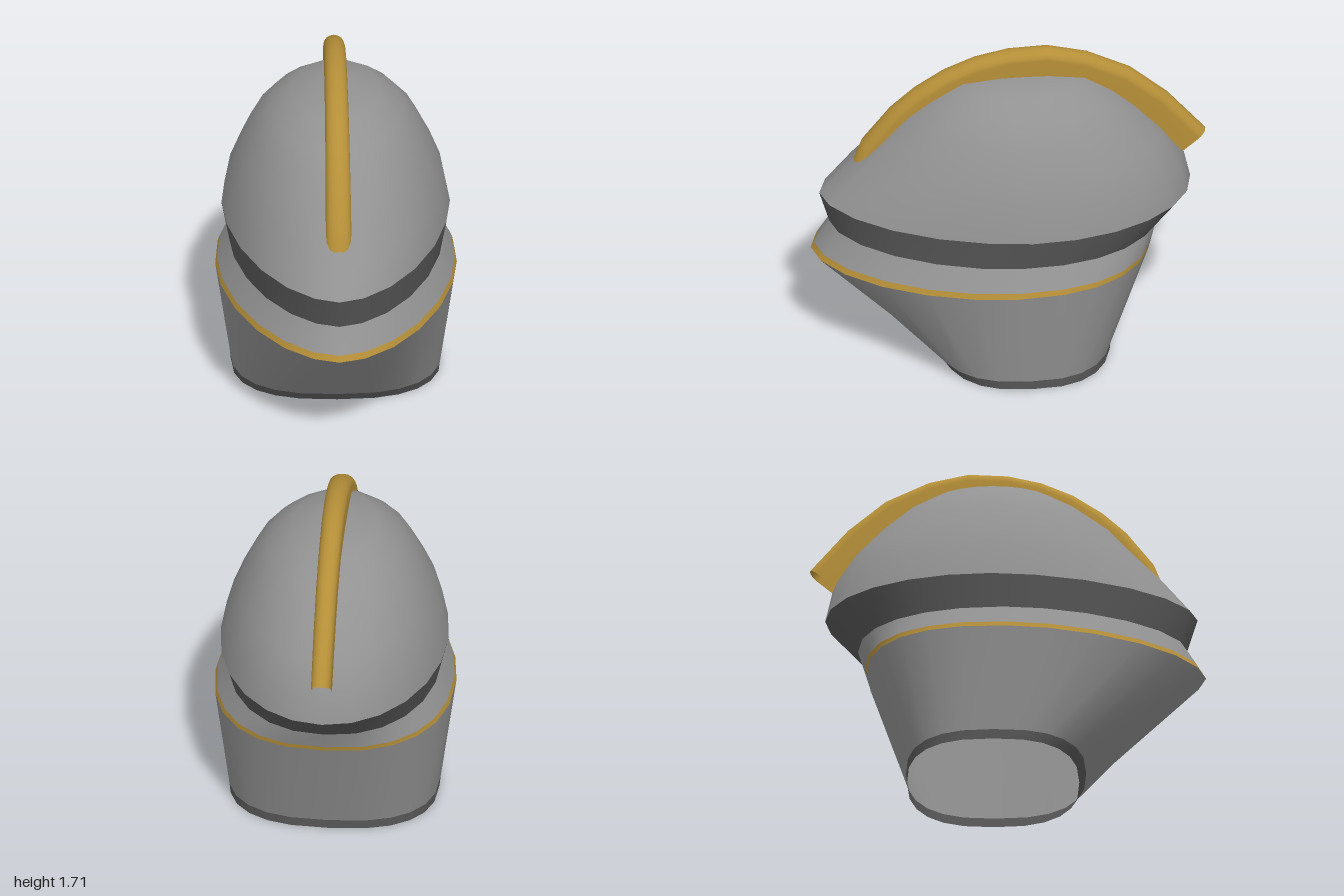
import * as THREE from 'three';

const SEGMENTS = 24;

// Surface through rows of points; closed rows join end to start
function loft(rows, closed) {
  const n = rows[0].length;
  const index = [];
  for (let j = 0; j < rows.length - 1; j++) {
    for (let i = 0; i < (closed ? n : n - 1); i++) {
      const k = (i + 1) % n;
      const a = j * n + i, b = j * n + k, c = a + n, d = b + n;
      index.push(a, b, d, a, d, c);
    }
  }
  const g = new THREE.BufferGeometry();
  g.setAttribute('position', new THREE.Float32BufferAttribute(rows.flat(2), 3));
  g.setIndex(index);
  g.computeVertexNormals();
  return g;
}

// Horizontal outline: half width w, front and back reach, z of the widest point,
// front and back roundness (below 2 is pointed, above 2 is squarer)
function ring({ y, yBack = y, w, front, back, mid, nf, nb }) {
  const points = [];
  for (let i = 0; i < SEGMENTS; i++) {
    const a = (i / SEGMENTS) * Math.PI * 2;
    const s = Math.sin(a), c = Math.cos(a);
    const p = 2 / (c >= 0 ? nf : nb);
    const reach = c >= 0 ? front - mid : mid - back;
    const x = Math.sign(s) * w * Math.abs(s) ** p;
    const z = mid + Math.sign(c) * reach * Math.abs(c) ** p;
    const t = (front - z) / (front - back);
    points.push([x, y + (yBack - y) * t, z]);
  }
  return points;
}

export function createModel() {
  const helmet = new THREE.Group();
  helmet.name = 'helmet';

  const material = (name, color) => {
    const m = new THREE.MeshStandardMaterial({ color, side: THREE.DoubleSide });
    m.name = name;
    return m;
  };
  const steel = material('steel', 0x929292);
  const darkSteel = material('darkSteel', 0x595959);
  const gold = material('gold', 0xb58f38);

  const add = (name, geometry, mat) => {
    const mesh = new THREE.Mesh(geometry, mat);
    mesh.name = name;
    helmet.add(mesh);
  };

  // Outlines shared by neighbouring bands, bottom to top
  const hem = ring({ y: 0, w: 0.53, front: 0.36, back: -0.51, mid: -0.075, nf: 2.6, nb: 2.6 });
  const hemTop = ring({ y: 0.05, w: 0.535, front: 0.395, back: -0.515, mid: -0.07, nf: 2.6, nb: 2.6 });
  const goldLow = ring({ y: 0.575, yBack: 0.605, w: 0.61, front: 1, back: -0.715, mid: 0, nf: 1.75, nb: 2.4 });
  const goldHigh = ring({ y: 0.605, yBack: 0.63, w: 0.6, front: 0.983, back: -0.722, mid: 0, nf: 1.75, nb: 2.4 });
  const neck = ring({ y: 0.73, w: 0.54, front: 0.906, back: -0.757, mid: -0.02, nf: 1.75, nb: 2.2 });
  const brim = ring({ y: 0.9, w: 0.577, front: 0.957, back: -0.923, mid: -0.08, nf: 1.75, nb: 2 });

  add('bottomTrim', loft([hem, hemTop], true), darkSteel);
  add('neckGuard', loft([hemTop, goldLow], true), steel);
  add('goldBand', loft([goldLow, goldHigh], true), gold);
  add('collar', loft([goldHigh, neck], true), steel);
  add('darkBand', loft([neck, brim], true), darkSteel);

  // Dome: y, half width, front, back
  const dome = [
    [1.06, 0.547, 0.815, -0.887],
    [1.21, 0.49, 0.665, -0.79],
    [1.36, 0.42, 0.527, -0.65],
    [1.46, 0.34, 0.39, -0.535],
    [1.547, 0.227, 0.245, -0.395],
    [1.568, 0.1, 0.07, -0.23],
    [1.573, 0.001, -0.079, -0.081],
  ].map(([y, w, front, back], i) => ring({
    y, w, front, back, mid: -0.08, nf: Math.min(2, 1.8 + i * 0.05), nb: 2,
  }));
  add('dome', loft([brim, ...dome], true), steel);

  // Crest: inverted channel following a ridge from front to back (z, y, depth)
  const ridge = [
    [0.785, 1.085, 0.06], [0.74, 1.2, 0.08], [0.6, 1.38, 0.11], [0.48, 1.49, 0.13],
    [0.33, 1.59, 0.14], [0.17, 1.66, 0.14], [0, 1.7, 0.15], [-0.2, 1.71, 0.16],
    [-0.4, 1.665, 0.16], [-0.62, 1.56, 0.16], [-0.81, 1.4, 0.16], [-1, 1.178, 0.155],
  ];
  const crestRows = ridge.map(([z, y, depth], j) => {
    const [z0, y0] = ridge[Math.max(j - 1, 0)];
    const [z1, y1] = ridge[Math.min(j + 1, ridge.length - 1)];
    const len = Math.hypot(z1 - z0, y1 - y0);
    const inZ = (y0 - y1) / len, inY = (z1 - z0) / len; // toward the dome
    const half = 0.066 - 0.016 * (j / (ridge.length - 1));
    const profile = [[-half, depth]];
    for (let i = 0; i <= 8; i++) {
      const a = (i / 8) * Math.PI;
      profile.push([-half * Math.cos(a), 0.05 * (1 - Math.sin(a))]);
    }
    profile.push([half, depth]);
    return profile.map(([x, d]) => [x, y + inY * d, z + inZ * d]);
  });
  add('crest', loft(crestRows, false), gold);

  return helmet;
}
